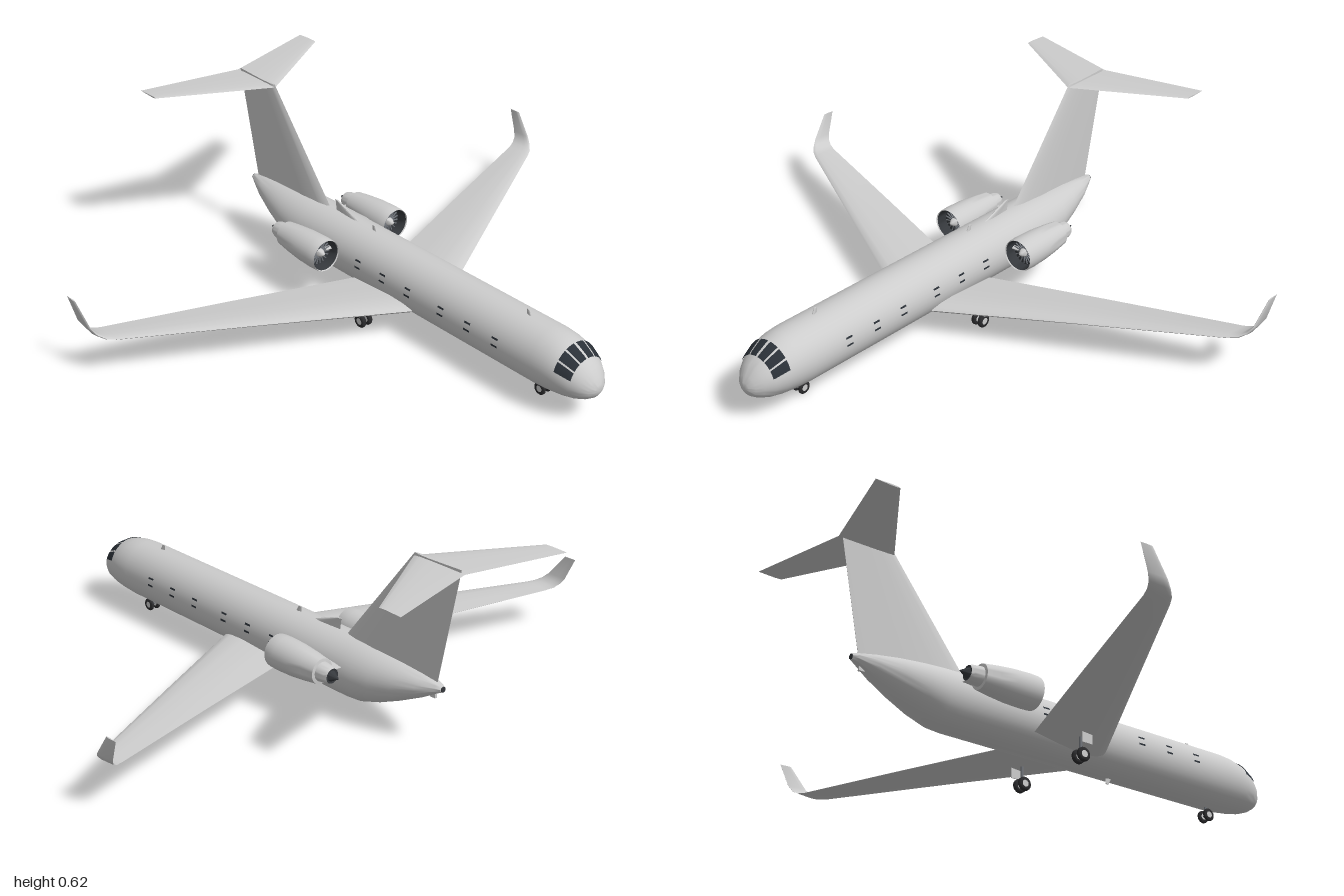
import * as THREE from 'three';
import { toCreasedNormals } from 'three/addons/utils/BufferGeometryUtils.js';

const mat = (name, color, side = THREE.FrontSide) => {
  const m = new THREE.MeshStandardMaterial({ color, side });
  m.name = name;
  return m;
};

// Closed skin through rings of points, with capped ends; always faces outward
function loft(rings, crease = 0.7) {
  const n = rings[0].length, pos = [], idx = [];
  rings.forEach(r => r.forEach(p => pos.push(...p)));
  for (let i = 0; i < rings.length - 1; i++) {
    for (let j = 0; j < n; j++) {
      const a = i * n + j, b = i * n + (j + 1) % n;
      idx.push(a, a + n, b, b, a + n, b + n);
    }
  }
  const last = (rings.length - 1) * n;
  for (let j = 1; j < n - 1; j++) idx.push(0, j, j + 1, last, last + j + 1, last + j);
  const P = k => new THREE.Vector3(pos[3 * k], pos[3 * k + 1], pos[3 * k + 2]);
  let vol = 0;
  for (let k = 0; k < idx.length; k += 3) vol += P(idx[k]).dot(P(idx[k + 1]).cross(P(idx[k + 2])));
  if (vol < 0) idx.reverse();
  const g = new THREE.BufferGeometry();
  g.setAttribute('position', new THREE.Float32BufferAttribute(pos, 3));
  g.setIndex(idx);
  return toCreasedNormals(g, crease);
}

// Aerofoil surface; each section is [x, y, zLeading, zTrailing, halfThickness, tilt]
const FOIL = [[0, 0], [0.03, 0.4], [0.12, 0.8], [0.32, 1], [0.65, 0.6], [1, 0.04],
  [1, -0.04], [0.65, -0.6], [0.32, -1], [0.12, -0.8], [0.03, -0.4]];
const foil = (sections, s = 1) => loft(sections.map(([x, y, z0, z1, t, a]) =>
  FOIL.map(([u, h]) => [s * (x - Math.sin(a) * h * t), y + Math.cos(a) * h * t, z0 + (z1 - z0) * u])));

// Fuselage stations: z, top, bottom, half width
const BODY = [[0.905, 0.129, 0.123, 0.003], [0.901, 0.143, 0.11, 0.019], [0.89, 0.163, 0.094, 0.038],
  [0.87, 0.19, 0.081, 0.058], [0.84, 0.216, 0.07, 0.077], [0.8, 0.238, 0.062, 0.09],
  [0.75, 0.251, 0.056, 0.097], [0.7, 0.255, 0.053, 0.1], [-0.4, 0.255, 0.053, 0.1],
  [-0.45, 0.254, 0.057, 0.098], [-0.52, 0.25, 0.08, 0.09], [-0.6, 0.244, 0.115, 0.071],
  [-0.68, 0.234, 0.155, 0.046], [-0.74, 0.224, 0.19, 0.02], [-0.757, 0.219, 0.198, 0.01]];

// Point on the fuselage skin at station z and angle a, lifted by off
function skin(z, a, off = 0) {
  let i = 0;
  while (i < BODY.length - 2 && BODY[i + 1][0] > z) i++;
  const A = BODY[i], B = BODY[i + 1], k = (A[0] - z) / (A[0] - B[0]);
  const [, top, bot, w] = A.map((v, j) => v + (B[j] - v) * k);
  return [Math.cos(a) * (w + off), (top + bot) / 2 + Math.sin(a) * ((top - bot) / 2 + off), z];
}

// Thin panel lying on the fuselage skin, angles in degrees
function panel(z0, z1, a0, a1, n = 4) {
  const g = new THREE.PlaneGeometry(1, 1, n, n), p = g.attributes.position;
  for (let i = 0; i < p.count; i++) {
    const a = THREE.MathUtils.degToRad(a0 + (a1 - a0) * (p.getX(i) + 0.5));
    p.setXYZ(i, ...skin(z0 + (z1 - z0) * (p.getY(i) + 0.5), a, 0.0025));
  }
  g.computeVertexNormals();
  return g;
}

// Turned shape along z from [radius, z] pairs
const turned = pts => toCreasedNormals(
  new THREE.LatheGeometry(pts.map(p => new THREE.Vector2(...p)), 32).rotateX(Math.PI / 2), 0.7);

export function createModel() {
  const model = new THREE.Group();
  const paint = mat('bodyPaint', 0xcccccc);
  const glass = mat('darkGlass', 0x2b3138, THREE.DoubleSide);
  const dark = mat('darkMetal', 0x35383c, THREE.DoubleSide);
  const rubber = mat('tyreRubber', 0x2c2c2e);
  const metal = mat('fanMetal', 0x74787e);

  const add = (name, geo, m, parent = model, x = 0, y = 0, z = 0) => {
    const mesh = new THREE.Mesh(geo, m);
    mesh.name = name;
    mesh.position.set(x, y, z);
    parent.add(mesh);
    return mesh;
  };
  const box = (name, w, h, d, m, parent, x, y, z) =>
    add(name, new THREE.BoxGeometry(w, h, d), m, parent, x, y, z);

  // Fuselage and tail exhaust
  add('fuselage', loft(BODY.map(b =>
    Array.from({ length: 40 }, (_, j) => skin(b[0], j / 40 * Math.PI * 2))), 1), paint);
  add('tailExhaust', new THREE.CylinderGeometry(0.009, 0.009, 0.006, 16).rotateX(Math.PI / 2),
    dark, model, 0, 0.2085, -0.757);
  box('tailFitting', 0.008, 0.018, 0.02, paint, model, 0, 0.178, -0.72);

  // Fin and dorsal blade
  add('verticalFin', foil([[0, 0.2, -0.3, -0.73, 0.017, Math.PI / 2],
    [0, 0.617, -0.622, -0.812, 0.006, Math.PI / 2]]), paint);
  add('dorsalBlade', foil([[0, 0.245, -0.165, -0.305, 0.005, Math.PI / 2],
    [0, 0.285, -0.27, -0.31, 0.004, Math.PI / 2],
    [0, 0.293, -0.295, -0.314, 0.003, Math.PI / 2]]), paint);

  // Aerials above and below
  for (const [z, y0, y1] of [[0.605, 0.25, 0.273], [-0.11, 0.25, 0.273], [0.245, 0.057, 0.034]]) {
    add('aerial', foil([[0, y0, z + 0.012, z - 0.012, 0.004, Math.PI / 2],
      [0, y1, z, z - 0.013, 0.003, Math.PI / 2]]), paint);
  }

  // A pair of wheels with hubs and a leg, centred on the axle
  function wheels(name, x, z, r, gap, width, legTop) {
    const g = new THREE.Group();
    g.name = name;
    g.position.set(x, r, z);
    model.add(g);
    for (const e of [-1, 1]) {
      const b = width * 0.25, h = width / 2;
      const tyre = new THREE.LatheGeometry([[r * 0.5, -h], [r * 0.88, -h], [r, -h + b], [r, h - b],
        [r * 0.88, h], [r * 0.5, h]].map(p => new THREE.Vector2(...p)), 24).rotateZ(Math.PI / 2);
      add('tyre', toCreasedNormals(tyre, 0.9), rubber, g, e * gap);
      add('hub', new THREE.CylinderGeometry(r * 0.55, r * 0.55, width * 0.9, 20).rotateZ(Math.PI / 2),
        paint, g, e * gap);
    }
    add('axle', new THREE.CylinderGeometry(0.004, 0.004, gap * 2, 10).rotateZ(Math.PI / 2), metal, g);
    add('leg', new THREE.CylinderGeometry(0.005, 0.005, legTop - r, 10), metal, g, 0, (legTop - r) / 2);
  }
  wheels('noseGear', 0, 0.675, 0.022, 0.014, 0.011, 0.07);

  for (const s of [-1, 1]) {
    const side = s > 0 ? 'left' : 'right';

    // Wing curving up into its winglet
    add(side + 'Wing', foil([
      [0, 0.094, 0.21, -0.098, 0.02, 0], [0.1, 0.1, 0.157, -0.128, 0.019, 0.04],
      [0.5, 0.124, -0.056, -0.25, 0.012, 0.06], [0.93, 0.147, -0.285, -0.381, 0.006, 0.1],
      [0.958, 0.152, -0.302, -0.392, 0.005, 0.4], [0.977, 0.164, -0.322, -0.402, 0.005, 0.8],
      [0.988, 0.184, -0.342, -0.414, 0.004, 1.25], [0.998, 0.262, -0.402, -0.446, 0.002, 1.45]], s), paint);

    // Tailplane on top of the fin
    add(side + 'Tailplane', foil([[0, 0.607, -0.62, -0.825, 0.005, 0],
      [0.355, 0.607, -0.826, -0.912, 0.0025, 0]], s), paint);

    // Engine: cowl, dark intake, fan, core and exhaust cone
    const engine = new THREE.Group();
    engine.name = side + 'Engine';
    engine.position.set(s * 0.157, 0.187, 0);
    model.add(engine);
    add('cowl', turned([[0.03, -0.392], [0.043, -0.39], [0.05, -0.34], [0.056, -0.28],
      [0.058, -0.22], [0.057, -0.19], [0.055, -0.18], [0.053, -0.184]]), paint, engine);
    add('intake', turned([[0.053, -0.184], [0.048, -0.2], [0.047, -0.22], [0, -0.22]]), dark, engine);
    for (let i = 0; i < 18; i++) {
      const blade = new THREE.BoxGeometry(0.003, 0.028, 0.004).translate(0, 0.028, 0);
      add('fanBlade', blade, metal, engine, 0, 0, -0.215).rotation.z = i / 18 * Math.PI * 2;
    }
    add('spinner', turned([[0.016, -0.22], [0.013, -0.206], [0.007, -0.195], [0, -0.19]]), paint, engine);
    add('core', turned([[0.025, -0.437], [0.029, -0.425], [0.033, -0.39]]), paint, engine);
    add('exhaustCone', turned([[0, -0.467], [0.018, -0.435], [0.025, -0.436]]), dark, engine);
    add(side + 'Pylon', foil([[0.07, 0.187, -0.2, -0.415, 0.014, 0],
      [0.13, 0.187, -0.21, -0.405, 0.014, 0]], s), paint);

    // Main gear with its door
    wheels(side + 'MainGear', s * 0.157, 0.005, 0.024, 0.0135, 0.014, 0.1);
    box(side + 'GearDoor', 0.003, 0.045, 0.04, paint, model, s * 0.19, 0.078, 0.005);

    // Windscreen panels and slim cabin window strips
    const ang = a => s > 0 ? a : 180 - a;
    for (const [a0, a1] of [[17, 38], [42, 63], [67, 87]])
      add('windscreenPanel', panel(0.793, 0.847, ang(a0), ang(a1), 8), glass);
    for (const z of [0.552, 0.431, 0.31, 0.155, 0.034, -0.087])
      for (const a of [3.4, 17.3])
        add('cabinWindow', panel(z - 0.013, z + 0.013, ang(a - 1.8), ang(a + 1.8)), glass);
  }
  return model;
}
